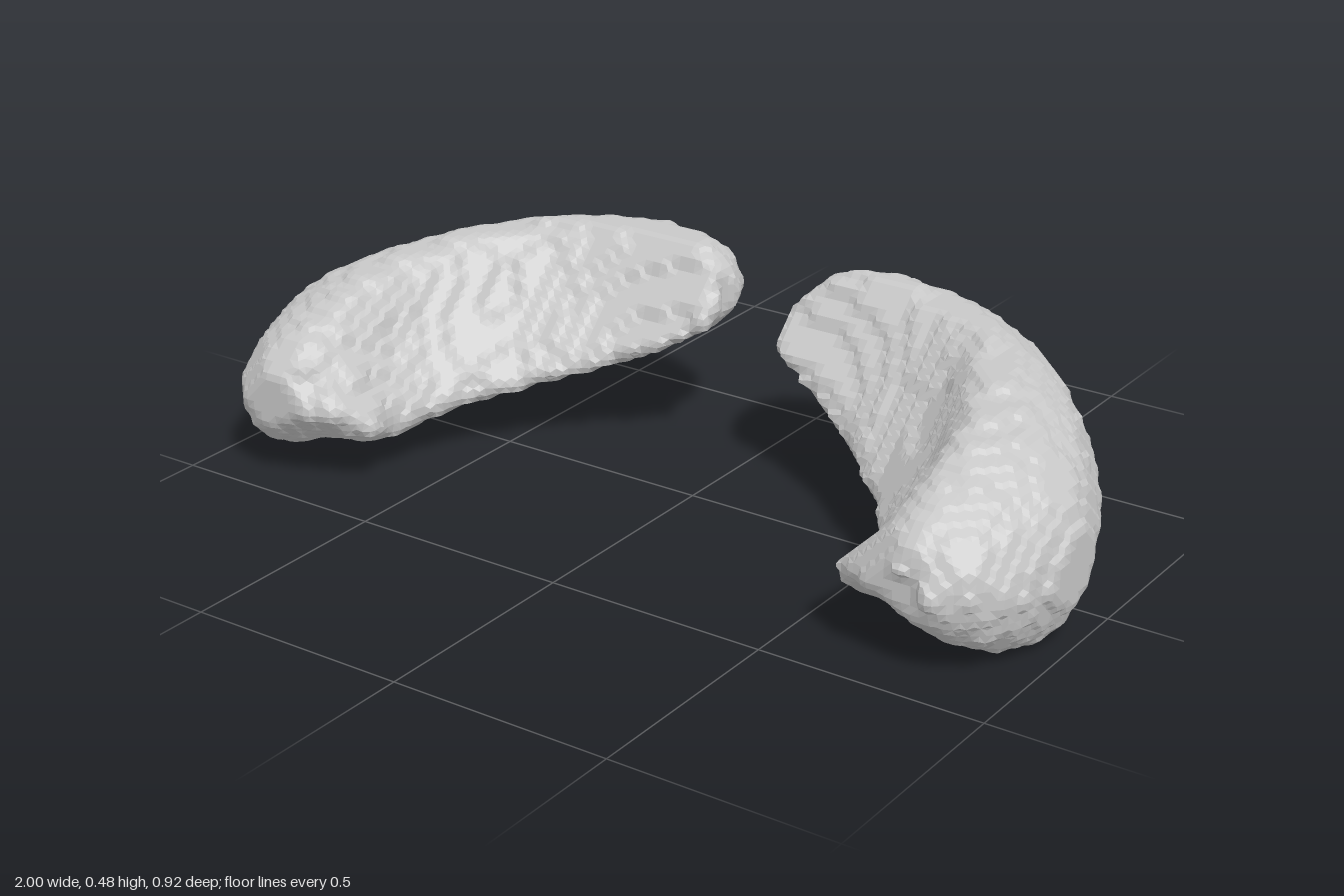
import * as THREE from 'three';

const STEP = 0.02; // size of one voxel

// Cross-sections from the inner tip round to the front end:
// inner lip, top ridge, outer side, underside
const STATIONS = [
  [[.10, .32, -.16], [.12, .41, -.25], [.11, .365, -.305], [.11, .33, -.25]],
  [[.20, .265, -.13], [.18, .46, -.275], [.17, .35, -.375], [.18, .265, -.27]],
  [[.32, .21, -.08], [.30, .475, -.285], [.31, .32, -.435], [.31, .195, -.295]],
  [[.42, .175, -.005], [.44, .465, -.26], [.49, .29, -.44], [.46, .157, -.235]],
  [[.52, .14, .085], [.58, .455, -.19], [.685, .26, -.34], [.63, .105, -.18]],
  [[.58, .12, .17], [.68, .44, -.045], [.86, .23, -.17], [.77, .06, -.08]],
  [[.605, .11, .24], [.73, .42, .065], [.965, .215, .02], [.87, .01, .045]],
  [[.61, .11, .30], [.76, .395, .195], [1.0, .20, .135], [.91, 0, .155]],
  [[.60, .14, .36], [.77, .35, .305], [.97, .18, .29], [.89, .03, .295]],
  [[.63, .175, .395], [.77, .30, .405], [.91, .175, .40], [.84, .08, .39]],
  [[.70, .18, .435], [.77, .225, .45], [.85, .18, .445], [.80, .14, .44]],
];

// Eight-point outline: nearly flat inner face and underside, rounded outer side
function outline(station) {
  const [lip, ridge, side, under] = station.map((p) => new THREE.Vector3(...p));
  const mix = (a, b, h, v) => new THREE.Vector3(
    a.x + (b.x - a.x) * h, a.y + (b.y - a.y) * v, a.z + (b.z - a.z) * h);
  return [lip, mix(lip, ridge, .5, .56), ridge, mix(ridge, side, .7, .3), side,
    mix(side, under, .3, .7), under, mix(under, lip, .5, .47)];
}

// Lowest and highest point of the swept lobe in every voxel column
function columnHeights(place) {
  const sections = STATIONS.map(outline);
  const rails = sections[0].map((_, i) =>
    new THREE.CatmullRomCurve3(sections.map((s) => s[i])));
  const columns = new Map();
  for (let a = 0; a <= 400; a++) {
    const ring = new THREE.CatmullRomCurve3(rails.map((r) => r.getPoint(a / 400)), true);
    for (let b = 0; b < 320; b++) {
      const p = place(ring.getPoint(b / 320));
      const i = Math.floor(p.x / STEP), k = Math.floor(p.z / STEP);
      // only points near the column's axis count
      if (Math.abs(p.x / STEP - i - .5) > .33 || Math.abs(p.z / STEP - k - .5) > .33) continue;
      const key = i + ',' + k;
      const c = columns.get(key);
      if (!c) columns.set(key, { i, k, lo: p.y, hi: p.y });
      else { c.lo = Math.min(c.lo, p.y); c.hi = Math.max(c.hi, p.y); }
    }
  }
  return columns;
}

// Stepped surface with bevelled voxel corners
function voxelGeometry(place) {
  const filled = new Map();
  for (const { i, k, lo, hi } of columnHeights(place).values()) {
    for (let j = Math.max(0, Math.round(lo / STEP)); (j + .5) * STEP <= hi; j++) {
      filled.set([i, j, k].join(), [i, j, k]);
    }
  }
  const has = (i, j, k) => filled.has(i + ',' + j + ',' + k);

  // A corner moves to the mean of the places where the surface crosses its cell
  const corner = (c) => {
    const sum = [0, 0, 0];
    let n = 0;
    for (let axis = 0; axis < 3; axis++) {
      const u = (axis + 1) % 3, v = (axis + 2) % 3;
      for (let m = 0; m < 4; m++) {
        const from = [...c];
        from[axis] -= 1;
        from[u] -= m & 1;
        from[v] -= m >> 1;
        const to = [...from];
        to[axis] += 1;
        if (has(...from) === has(...to)) continue;
        sum[axis] += c[axis];
        sum[u] += from[u] + .5;
        sum[v] += from[v] + .5;
        n++;
      }
    }
    return sum.map((s) => s / n * STEP);
  };

  const positions = [];
  for (const cell of filled.values()) {
    for (let axis = 0; axis < 3; axis++) {
      for (const dir of [-1, 1]) {
        const next = [...cell];
        next[axis] += dir;
        if (has(...next)) continue;
        const u = (axis + 1) % 3, v = (axis + 2) % 3;
        const quad = [[0, 0], [1, 0], [1, 1], [0, 1]].map(([du, dv]) => {
          const c = [...cell];
          if (dir > 0) c[axis] += 1;
          c[u] += du;
          c[v] += dv;
          return corner(c);
        });
        if (dir < 0) quad.reverse();
        for (const q of [0, 1, 2, 0, 2, 3]) positions.push(...quad[q]);
      }
    }
  }
  const geometry = new THREE.BufferGeometry();
  geometry.setAttribute('position', new THREE.Float32BufferAttribute(positions, 3));
  geometry.computeVertexNormals();
  return geometry;
}

export function createModel() {
  const group = new THREE.Group();
  const paleGrey = new THREE.MeshStandardMaterial({ color: 0xc8c8c8 });
  paleGrey.name = 'paleGrey';

  // The right lobe mirrors the left and is slightly longer and lower
  const lobes = {
    leftLobe: (p) => p,
    rightLobe: (p) => p.set((1 - p.x) * 1.022 - 1, p.y * .985, p.z * 1.03),
  };
  for (const [name, place] of Object.entries(lobes)) {
    const mesh = new THREE.Mesh(voxelGeometry(place), paleGrey);
    mesh.name = name;
    group.add(mesh);
  }
  return group;
}
